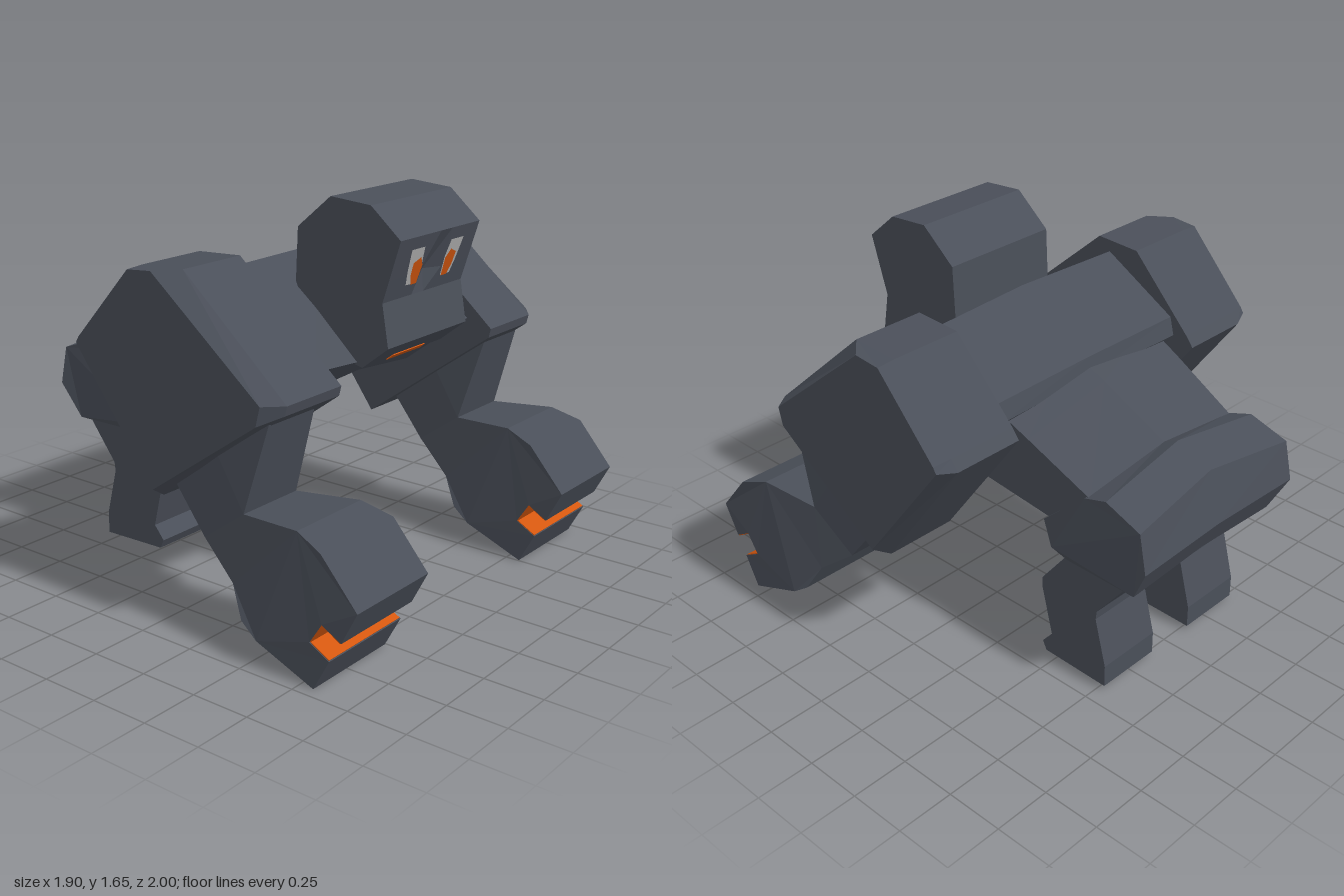
import * as THREE from 'three';

const makeMaterial = (name, color) => {
  const m = new THREE.MeshStandardMaterial({ color });
  m.name = name;
  m.flatShading = true;
  return m;
};

// Skins matching side outlines ([x, y, z] points) stacked along x, and caps both ends
function loft(outlines) {
  const rings = outlines[0][0][0] > outlines.at(-1)[0][0] ? [...outlines].reverse() : outlines;
  const flat = (ring) => ring.map(([, y, z]) => new THREE.Vector2(z, y));
  const layers = THREE.ShapeUtils.area(flat(rings[0])) < 0 ? rings.map((r) => [...r].reverse()) : rings;
  const pos = [];
  const tri = (a, b, c) => pos.push(...a, ...b, ...c);
  for (let k = 0; k < layers.length - 1; k++) {
    const low = layers[k], high = layers[k + 1], n = low.length;
    for (let i = 0; i < n; i++) {
      const j = (i + 1) % n;
      tri(low[i], high[i], high[j]);
      tri(low[i], high[j], low[j]);
    }
  }
  const first = layers[0], last = layers.at(-1);
  for (const [a, b, c] of THREE.ShapeUtils.triangulateShape(flat(first), [])) tri(first[a], first[b], first[c]);
  for (const [a, b, c] of THREE.ShapeUtils.triangulateShape(flat(last), [])) tri(last[a], last[c], last[b]);
  const g = new THREE.BufferGeometry();
  g.setAttribute('position', new THREE.Float32BufferAttribute(pos, 3));
  g.computeVertexNormals();
  return g;
}

// Outline from [z, y] pairs at one x, or from [z, y, x] points
const outline = (pts, x) => pts.map(([z, y, px]) => [x ?? px, y, z]);
const mirror = (rings) => rings.map((r) => r.map(([x, y, z]) => [-x, y, z]));
// Slab from [z, y, inner x, outer x]
const slab = (pts) => [pts.map(([z, y, a]) => [a, y, z]), pts.map(([z, y, , b]) => [b, y, z])];
// Symmetric body with a separate centre outline
const body = (side, centre) => {
  const left = outline(side);
  return [mirror([left])[0], outline(centre, 0), left];
};

export function createModel() {
  const stone = makeMaterial('dark stone', 0x4a4f59);
  const glow = makeMaterial('orange glow', 0xd4570f);
  const white = makeMaterial('eye white', 0xb4b4b4);
  const model = new THREE.Group();
  model.name = 'stoneCreature';
  const add = (name, rings, material) => {
    const mesh = new THREE.Mesh(loft(rings), material);
    mesh.name = name;
    model.add(mesh);
  };
  const addPair = (name, rings, material) => {
    add('left' + name, rings, material);
    add('right' + name, mirror(rings), material);
  };

  // Chest, abdomen and pelvis, ridged along the middle
  add('chest', body(
    [[0.06, 1.38, 0.53], [0.49, 1.035, 0.53], [0.18, 0.8, 0.53], [-0.1, 0.8, 0.53], [-0.31, 1.1, 0.53], [-0.29, 1.18, 0.53]],
    [[0.075, 1.39], [0.5, 1.0], [0.25, 0.87], [-0.1, 0.8], [-0.31, 1.11], [-0.295, 1.19]]), stone);
  add('abdomen', body(
    [[-0.2, 1.14, 0.48], [-0.4, 1.045, 0.465], [-0.7, 0.895, 0.44], [-0.7, 0.72, 0.44], [-0.5, 0.72, 0.44], [-0.19, 0.785, 0.47], [-0.05, 0.81, 0.48]],
    [[-0.2, 1.19], [-0.38, 1.11], [-0.72, 0.945], [-0.7, 0.71], [-0.5, 0.71], [-0.19, 0.775], [-0.05, 0.8]]), stone);
  add('pelvis', body(
    [[-0.68, 0.895, 0.45], [-0.79, 0.93, 0.455], [-0.965, 0.87, 0.462], [-1.0, 0.7, 0.465], [-0.92, 0.545, 0.43], [-0.58, 0.55, 0.43], [-0.52, 0.6, 0.46], [-0.485, 0.72, 0.465]],
    [[-0.695, 0.955], [-0.765, 0.99], [-0.93, 0.925], [-0.985, 0.7], [-0.915, 0.56], [-0.58, 0.562], [-0.52, 0.59], [-0.485, 0.71]]), stone);

  // Head with heavy brow, jaw and a hollow between the eyes
  const headSide = [[0.55, 1.64], [0.36, 1.655], [0.2, 1.52], [0.19, 1.3], [0.3, 1.05], [0.52, 1.0], [0.64, 1.095], [0.61, 1.27], [0.639, 1.36], [0.69, 1.52]];
  const headCentre = headSide.map(([z, y]) => [y === 1.36 ? z - 0.035 : z, y]);
  add('head', [-0.275, -0.08, 0, 0.08, 0.275].map((x) => outline(x === 0 ? headCentre : headSide, x)), stone);

  // Eyes follow the slope under the brow
  const faceZ = (y) => 0.61 + (y - 1.27) * 0.32;
  const plate = (pts, lift) => {
    const g = new THREE.ShapeGeometry(new THREE.Shape(pts.map(([x, y]) => new THREE.Vector2(x, y))));
    const p = g.attributes.position;
    for (let i = 0; i < p.count; i++) p.setZ(i, faceZ(p.getY(i)) + lift);
    g.computeVertexNormals();
    return g;
  };
  const eyeWhite = [[0.18, 1.47], [0.092, 1.47], [0.08, 1.4], [0.087, 1.32], [0.152, 1.322], [0.167, 1.38]];
  const iris = [[0.087, 1.32], [0.08, 1.395], [0.105, 1.43], [0.148, 1.412], [0.143, 1.36], [0.125, 1.32]];
  for (const [side, s] of [['left', 1], ['right', -1]]) {
    for (const [name, pts, lift, mat] of [['EyeWhite', eyeWhite, 0.004, white], ['Iris', iris, 0.008, glow]]) {
      const mesh = new THREE.Mesh(plate(pts.map(([x, y]) => [x * s, y]), lift), mat);
      mesh.name = side + name;
      model.add(mesh);
    }
  }
  // Mouth below the chin
  add('mouth', slab([[0.553, 1.021, -0.11, 0.11], [0.525, 0.999, -0.12, 0.12], [0.52, 1.003, -0.12, 0.12], [0.548, 1.026, -0.11, 0.11]]), glow);

  // Shoulder blocks with a chamfer around the outer face
  const shoulder = [[0.12, 1.435], [0.61, 1.005], [0.6, 0.965], [-0.01, 0.52], [-0.415, 1.075], [-0.38, 1.12], [-0.09, 1.425]];
  const shoulderFace = [[0.03, 1.43], [0.55, 1.01], [0.53, 0.93], [0.01, 0.57], [-0.385, 1.09], [-0.37, 1.115], [-0.09, 1.42]];
  addPair('Shoulder', [outline(shoulder, 0.53), outline(shoulder, 0.85), outline(shoulderFace, 0.93)], stone);

  // Arms flare towards the wrists and share their last edge with the fists
  addPair('Arm', slab([
    [0.54, 0.93, 0.6, 0.865], [0.43, 0.56, 0.575, 0.885], [0.39, 0.28, 0.555, 0.905],
    [0.22, 0.41, 0.6, 0.87], [0.03, 0.65, 0.6, 0.865], [0.2, 0.9, 0.6, 0.865]]), stone);
  addPair('Fist', slab([
    [0.43, 0.56, 0.575, 0.885], [0.71, 0.578, 0.535, 0.92], [0.84, 0.535, 0.507, 0.95], [1.0, 0.35, 0.507, 0.947],
    [0.93, 0.215, 0.507, 0.947], [0.845, 0.265, 0.507, 0.95], [0.79, 0.18, 0.507, 0.95], [0.88, 0.13, 0.505, 0.95],
    [0.81, 0, 0.505, 0.952], [0.54, 0.105, 0.507, 0.95], [0.46, 0.16, 0.52, 0.94], [0.39, 0.28, 0.555, 0.905]]), stone);
  // Glowing lining of the notch across each fist
  const lining = [[0.926, 0.218], [0.845, 0.266], [0.789, 0.18], [0.876, 0.132], [0.878, 0.135], [0.795, 0.181], [0.846, 0.26], [0.924, 0.214]];
  addPair('FistGlow', [outline(lining, 0.509), outline(lining, 0.946)], glow);

  // Short hind legs with small toes
  const leg = [[-0.56, 0.6], [-0.56, 0.55], [-0.435, 0.39], [-0.435, 0.35], [-0.49, 0.13], [-0.44, 0.07], [-0.46, 0.03], [-0.78, 0.022],
    [-0.78, 0.12], [-0.725, 0.33], [-0.73, 0.37], [-0.87, 0.55], [-0.8, 0.62]];
  addPair('HindLeg', [outline(leg, 0.117), outline(leg, 0.42)], stone);

  return model;
}
